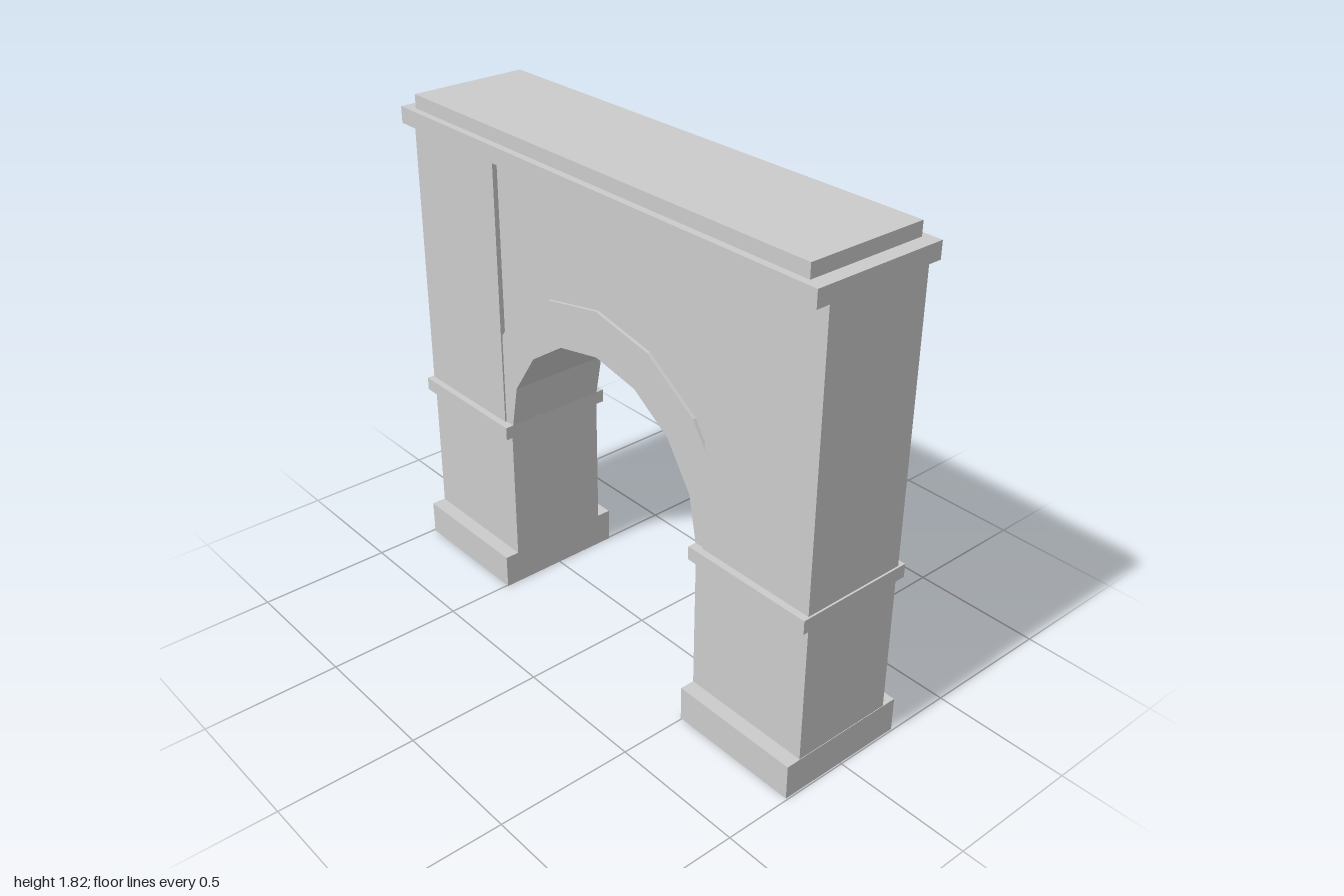
import * as THREE from 'three';

const material = new THREE.MeshStandardMaterial({ color: 0xcccccc, flatShading: true });

export function createModel() {
  const group = new THREE.Group();

  const add = (name, geometry) => {
    const mesh = new THREE.Mesh(geometry, material);
    mesh.name = name;
    group.add(mesh);
  };

  // Block given by its x range, y range and half depth
  const block = (name, x0, x1, y0, y1, halfDepth) => {
    const g = new THREE.BoxGeometry(x1 - x0, y1 - y0, halfDepth * 2);
    g.translate((x0 + x1) / 2, (y0 + y1) / 2, 0);
    add(name, g);
  };

  // Outline extruded evenly to front and back
  const slab = (name, points, halfDepth) => {
    const g = new THREE.ExtrudeGeometry(new THREE.Shape(points), { depth: halfDepth * 2, bevelEnabled: false });
    g.translate(0, 0, -halfDepth);
    add(name, g);
  };

  // Piers, mirrored left and right
  for (const [side, s] of [['left', 1], ['right', -1]]) {
    const pierBlock = (name, a, b, y0, y1, d) =>
      block(side + name, Math.min(s * a, s * b), Math.max(s * a, s * b), y0, y1, d);
    pierBlock('Plinth', 0.495, 0.994, 0, 0.13, 0.25);
    pierBlock('LowerPier', 0.495, 0.992, 0.13, 0.64, 0.196);
    pierBlock('ImpostBand', 0.49, 1, 0.64, 0.69, 0.225);
    pierBlock('UpperPier', 0.53, 0.993, 0.69, 1.71, 0.2);
  }

  // Arch curves: half circles in eight straight steps, from +x to -x
  const springY = 0.665, jambX = 0.53, top = 1.71;
  const arc = (radius, from, to) => {
    const points = [];
    for (let i = from; i <= to; i++) {
      const a = (i * Math.PI) / 8;
      points.push(new THREE.Vector2(radius * Math.cos(a), springY + radius * Math.sin(a)));
    }
    return points;
  };
  const v = (x, y) => new THREE.Vector2(x, y);
  const inner = arc(0.495, 0, 8);
  const outer = [v(jambX, 1.037), ...arc(0.66, 2, 6), v(-jambX, 1.037)];

  // Arch ring, cut off where it meets the piers
  slab('archRing', [v(jambX, springY), ...outer, v(-jambX, springY), ...inner.slice().reverse()], 0.194);

  // Recessed wall above the ring
  slab('spandrelPanel', [v(jambX, top), v(-jambX, top), ...outer.slice().reverse()], 0.182);

  // Cornice and cap
  block('cornice', -0.993, 0.993, 1.71, 1.77, 0.25);
  block('cap', -0.94, 0.94, 1.77, 1.82, 0.224);

  return group;
}
